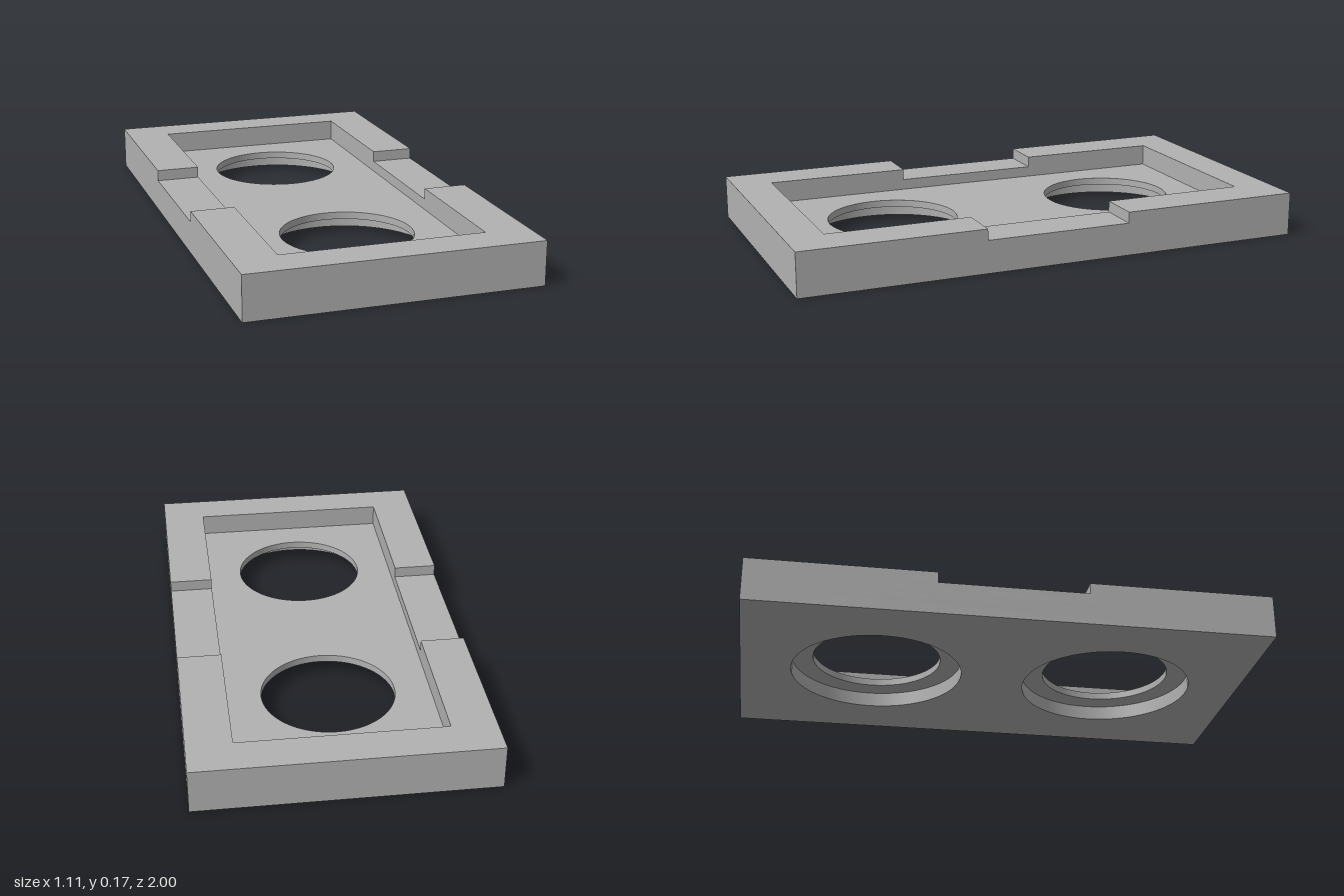
import * as THREE from 'three';
import { toCreasedNormals } from 'three/addons/utils/BufferGeometryUtils.js';

const HALF_W = 0.556, HALF_L = 1;          // outer plate
const POCKET_W = 0.387, POCKET_L = 0.85;   // recessed pocket
const NOTCH = 0.286;                       // half length of the side notches
const HOLE_Z = 0.465, HOLE_R = 0.253, BORE_R = 0.337;
const BORE_TOP = 0.057, FLOOR = 0.085, NOTCH_Y = 0.127, TOP = 0.17;

const polygon = (pts) => new THREE.Shape(pts.map(([x, y]) => new THREE.Vector2(x, y)));
const rect = (w, l) => polygon([[-w, -l], [w, -l], [w, l], [-w, l]]);

// Plate outline with the two round openings
function platform(radius) {
  const shape = rect(HALF_W, HALF_L);
  for (const z of [-HOLE_Z, HOLE_Z]) {
    shape.holes.push(new THREE.Path().absarc(0, z, radius, 0, Math.PI * 2, true));
  }
  return shape;
}

export function createModel() {
  const group = new THREE.Group();
  const grey = new THREE.MeshStandardMaterial({ color: 0xb2b2b2 });
  grey.name = 'plain grey';

  // Extrude a plan outline between two heights
  function layer(name, shape, y0, y1) {
    let geo = new THREE.ExtrudeGeometry(shape, { depth: y1 - y0, bevelEnabled: false, curveSegments: 72 });
    geo.rotateX(-Math.PI / 2);
    geo.translate(0, y0, 0);
    geo = toCreasedNormals(geo, Math.PI / 6);
    const mesh = new THREE.Mesh(geo, grey);
    mesh.name = name;
    group.add(mesh);
  }

  // Bottom with wide counterbores, then the thin lip forming the pocket floor
  layer('counterboredBase', platform(BORE_R), 0, BORE_TOP);
  layer('pocketFloor', platform(HOLE_R), BORE_TOP, FLOOR);

  // Continuous wall around the pocket, up to the notch level
  const wall = rect(HALF_W, HALF_L);
  wall.holes.push(rect(POCKET_W, POCKET_L));
  layer('pocketWall', wall, FLOOR, NOTCH_Y);

  // U-shaped raised rims at both ends, leaving the side notches open
  for (const [name, s] of [['backRim', 1], ['frontRim', -1]]) {
    layer(name, polygon([
      [-HALF_W, s * NOTCH], [-POCKET_W, s * NOTCH], [-POCKET_W, s * POCKET_L], [POCKET_W, s * POCKET_L],
      [POCKET_W, s * NOTCH], [HALF_W, s * NOTCH], [HALF_W, s * HALF_L], [-HALF_W, s * HALF_L],
    ]), NOTCH_Y, TOP);
  }
  return group;
}
